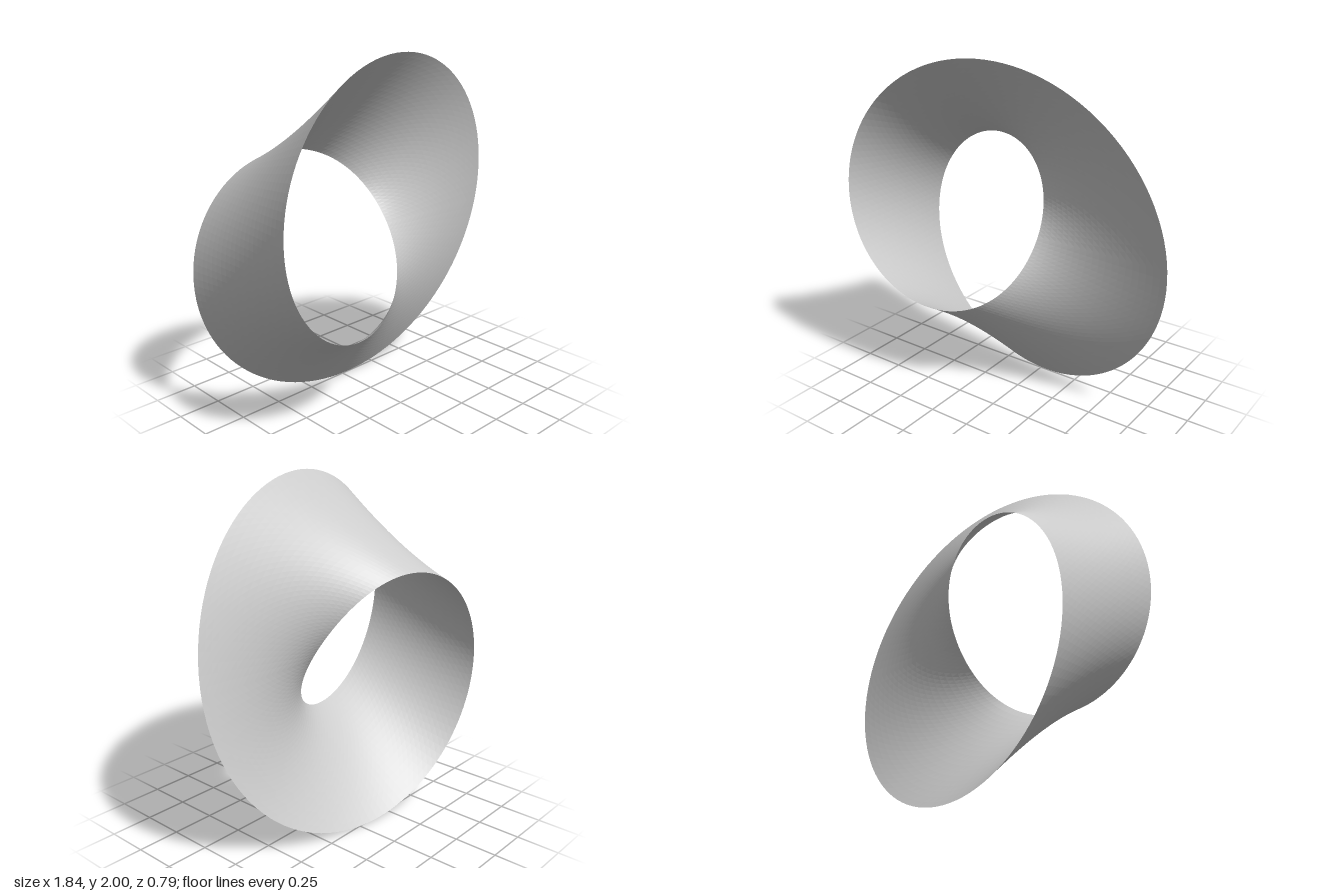
import * as THREE from 'three';
import { ParametricGeometry } from 'three/addons/geometries/ParametricGeometry.js';

const RADIUS = 0.7125;    // centre line of the band
const HALF_WIDTH = 0.394; // from centre line to edge
const CENTRE = new THREE.Vector3(-0.184, 1, 0);

// A point on the band: one half twist per turn around the z axis
function bandPoint(u, v, target) {
  const angle = u * Math.PI * 2;
  const across = (v * 2 - 1) * HALF_WIDTH;
  const r = RADIUS + across * Math.cos(angle / 2);
  target.set(r * Math.cos(angle), r * Math.sin(angle), across * Math.sin(angle / 2)).add(CENTRE);
}

export function createModel() {
  const group = new THREE.Group();
  group.name = 'mobiusStrip';

  // Single-sided twisted band, open along its one edge
  const band = new THREE.Mesh(
    new ParametricGeometry(bandPoint, 120, 20),
    new THREE.MeshStandardMaterial({ color: 0xcccccc, flatShading: true, side: THREE.DoubleSide })
  );
  band.name = 'twistedBand';
  group.add(band);
  return group;
}
